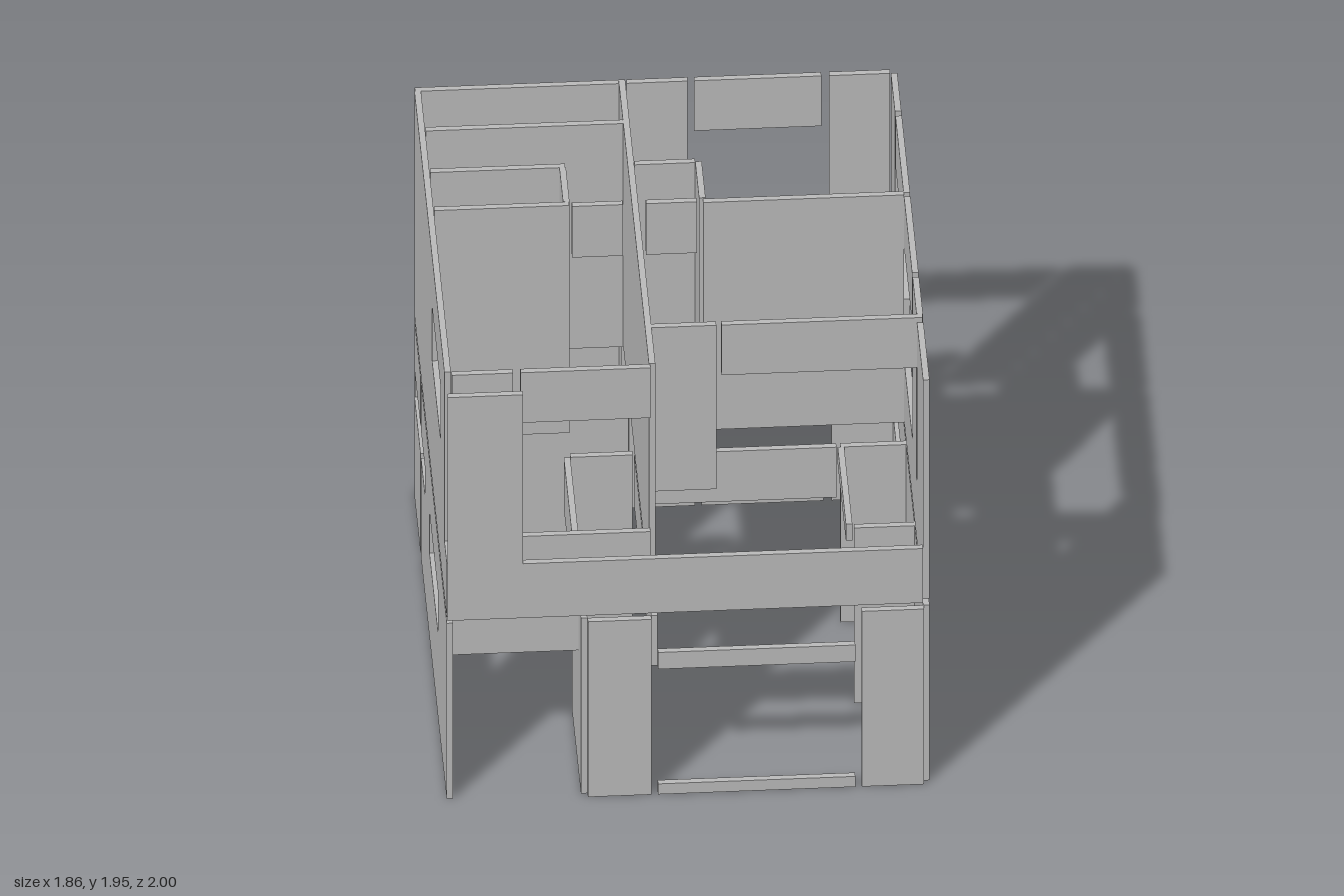
import * as THREE from 'three';

const T = 0.025; // wall thickness

export function createModel() {
  const model = new THREE.Group();
  const plaster = new THREE.MeshStandardMaterial({ color: 0xbbbbbb });
  plaster.name = 'grey plaster';

  const box = (parent, name, x0, x1, y0, y1, z0, z1) => {
    const m = new THREE.Mesh(new THREE.BoxGeometry(x1 - x0, y1 - y0, z1 - z0), plaster);
    m.position.set((x0 + x1) / 2, (y0 + y1) / 2, (z0 + z1) / 2);
    m.name = name;
    parent.add(m);
  };
  // walls running along x at depth z, and along z at position x
  const alongX = (p, name, z, x0, x1, y0, y1) => box(p, name, x0, x1, y0, y1, z - T / 2, z + T / 2);
  const alongZ = (p, name, x, z0, z1, y0, y1) => box(p, name, x - T / 2, x + T / 2, y0, y1, z0, z1);
  const storey = (name) => {
    const g = new THREE.Group();
    g.name = name;
    model.add(g);
    return g;
  };

  // ---------- lower storey ----------
  const lo = storey('lowerStorey');
  const H = 0.84;
  // front
  alongX(lo, 'frontPier', 0.987, -0.39, -0.145, 0, H);
  alongX(lo, 'frontPier', 0.987, 0.665, 0.905, 0, H);
  alongX(lo, 'frontSill', 0.987, -0.12, 0.64, 0, 0.05);
  alongX(lo, 'frontTransom', 0.987, -0.12, 0.64, 0.6, 0.68);
  alongX(lo, 'porchLintel', 0.812, -0.91, -0.415, 0.575, H);
  // left side of the house (+x)
  alongZ(lo, 'sideWall', 0.915, -0.34, 0.975, 0, H);
  alongZ(lo, 'sideWindowSill', 0.915, -0.84, -0.34, 0, 0.4);
  alongZ(lo, 'sideWindowLintel', 0.915, -0.84, -0.34, 0.59, H);
  // right side of the house (-x)
  alongZ(lo, 'sideWall', -0.92, 0.45, 0.975, 0, H);
  alongZ(lo, 'sideWall', -0.92, -0.33, -0.07, 0, H);
  alongZ(lo, 'sideWindowSill', -0.92, -0.07, 0.44, 0, 0.4);
  alongZ(lo, 'sideWindowLintel', -0.92, -0.07, 0.44, 0.6, H);
  for (const [z0, z1] of [[-0.975, -0.61], [-0.58, -0.35]]) {
    alongZ(lo, 'sideWindowSill', -0.92, z0, z1, 0, 0.475);
    alongZ(lo, 'sideWindowLintel', -0.92, z0, z1, 0.61, H);
  }
  // back
  alongX(lo, 'backWall', -0.987, -0.93, -0.12, 0, H);
  alongZ(lo, 'backReturn', -0.132, -0.975, -0.845, 0, H);
  alongX(lo, 'backPier', -0.858, -0.115, 0.14, 0, H);
  alongX(lo, 'backPier', -0.858, 0.665, 0.925, 0, H);
  alongX(lo, 'backSill', -0.858, 0.165, 0.635, 0, 0.05);
  alongX(lo, 'backLintel', -0.858, 0.165, 0.635, 0.6, H);
  // rooms
  for (const z of [-0.337, -0.595]) alongX(lo, 'roomWall', z, -0.905, -0.15, 0, H);
  alongZ(lo, 'roomWall', -0.525, -0.58, -0.35, 0, H);
  alongZ(lo, 'roomLintel', -0.395, -0.975, -0.61, 0.6, H);
  alongZ(lo, 'hallWall', -0.403, 0.445, 0.975, 0, H);
  alongZ(lo, 'hallLintel', -0.403, -0.06, 0.43, 0.6, H);
  alongZ(lo, 'hallLintel', -0.132, -0.06, 0.975, 0.6, H);
  alongX(lo, 'hallWall', -0.073, -0.39, -0.15, 0, H);
  alongX(lo, 'hallLintel', -0.073, -0.12, 0.635, 0.6, H);
  alongX(lo, 'closetWall', -0.073, 0.65, 0.903, 0, H);
  alongX(lo, 'closetWall', 0.45, 0.67, 0.903, 0, H);
  alongZ(lo, 'closetLintel', 0.652, -0.06, 0.435, 0.76, H);

  // ---------- upper storey ----------
  const up = storey('upperStorey');
  const B = 0.87, S = 1.155, L = 1.7, U = 1.94;
  // front parapet and recessed front walls
  alongX(up, 'frontPanel', 0.987, -0.93, -0.64, B, U);
  alongX(up, 'frontParapet', 0.987, -0.64, 0.9, B, 1.13);
  alongX(up, 'balconySill', 0.845, -0.905, -0.14, 0.85, S);
  alongX(up, 'balconyWall', 0.845, -0.905, -0.67, S, U);
  alongX(up, 'balconyLintel', 0.845, -0.64, -0.14, L, U);
  alongX(up, 'terracePanel', 0.588, -0.12, 0.13, S, U);
  alongX(up, 'terraceLintel', 0.588, 0.15, 0.925, L, U);
  // left side of the house (+x)
  alongZ(up, 'sideParapet', 0.915, -0.7, 0.975, B, S);
  alongZ(up, 'sidePanel', 0.915, 0.605, 0.975, S, 1.92);
  alongZ(up, 'sidePanel', 0.915, 0.34, 0.575, S, U);
  alongZ(up, 'sideLintel', 0.915, -0.18, 0.31, L, U);
  alongZ(up, 'sideWindowSill', 0.915, -0.7, -0.205, S, 1.43);
  alongZ(up, 'sideLintel', 0.915, -0.7, -0.205, L, U);
  alongZ(up, 'sidePanel', 0.915, -0.975, -0.73, B, U);
  // right side of the house (-x)
  alongZ(up, 'sideWall', -0.92, -0.975, -0.45, B, U);
  alongZ(up, 'sideParapet', -0.92, -0.45, 0.6, B, S);
  alongZ(up, 'sidePanel', -0.92, -0.45, 0.09, S, U);
  alongZ(up, 'sideWindowSill', -0.92, 0.09, 0.6, S, 1.44);
  alongZ(up, 'sideWindowLintel', -0.92, 0.09, 0.6, L, U);
  alongZ(up, 'sideWall', -0.92, 0.6, 0.835, B, U);
  alongZ(up, 'sideParapet', -0.92, 0.835, 0.975, B, 1.13);
  // back
  alongX(up, 'backWall', -0.987, -0.93, -0.145, B, U);
  alongX(up, 'backPanel', -0.987, -0.115, 0.12, B, U);
  alongX(up, 'backPanel', -0.987, 0.665, 0.9, B, U);
  alongX(up, 'backWindowSill', -0.987, 0.145, 0.635, B, S);
  alongX(up, 'backWindowLintel', -0.987, 0.145, 0.635, L, U);
  // rooms
  alongZ(up, 'spineWall', -0.132, -1, 0.83, B, U);
  alongX(up, 'roomWall', -0.203, 0.13, 0.903, 0.85, U);
  alongX(up, 'doorLintel', -0.203, -0.375, -0.18, L, 1.945);
  alongX(up, 'doorLintel', -0.203, -0.09, 0.105, L, 1.945);
  alongX(up, 'roomWall', -0.217, -0.905, -0.385, 0.85, U);
  alongX(up, 'roomWall', -0.462, -0.905, -0.385, 0.85, U);
  alongZ(up, 'roomWall', -0.395, -0.45, -0.23, 0.85, U);
  alongX(up, 'roomWall', -0.73, -0.905, -0.145, B, U);
  alongX(up, 'closetWall', -0.462, -0.118, 0.115, 0.85, U);
  alongZ(up, 'closetWall', 0.128, -0.45, -0.215, 0.85, 1.945);
  alongZ(up, 'lowWall', -0.655, -0.2, 0.83, 0.85, S);
  alongZ(up, 'lowWall', -0.655, -0.45, -0.23, 0.85, S);

  return model;
}
